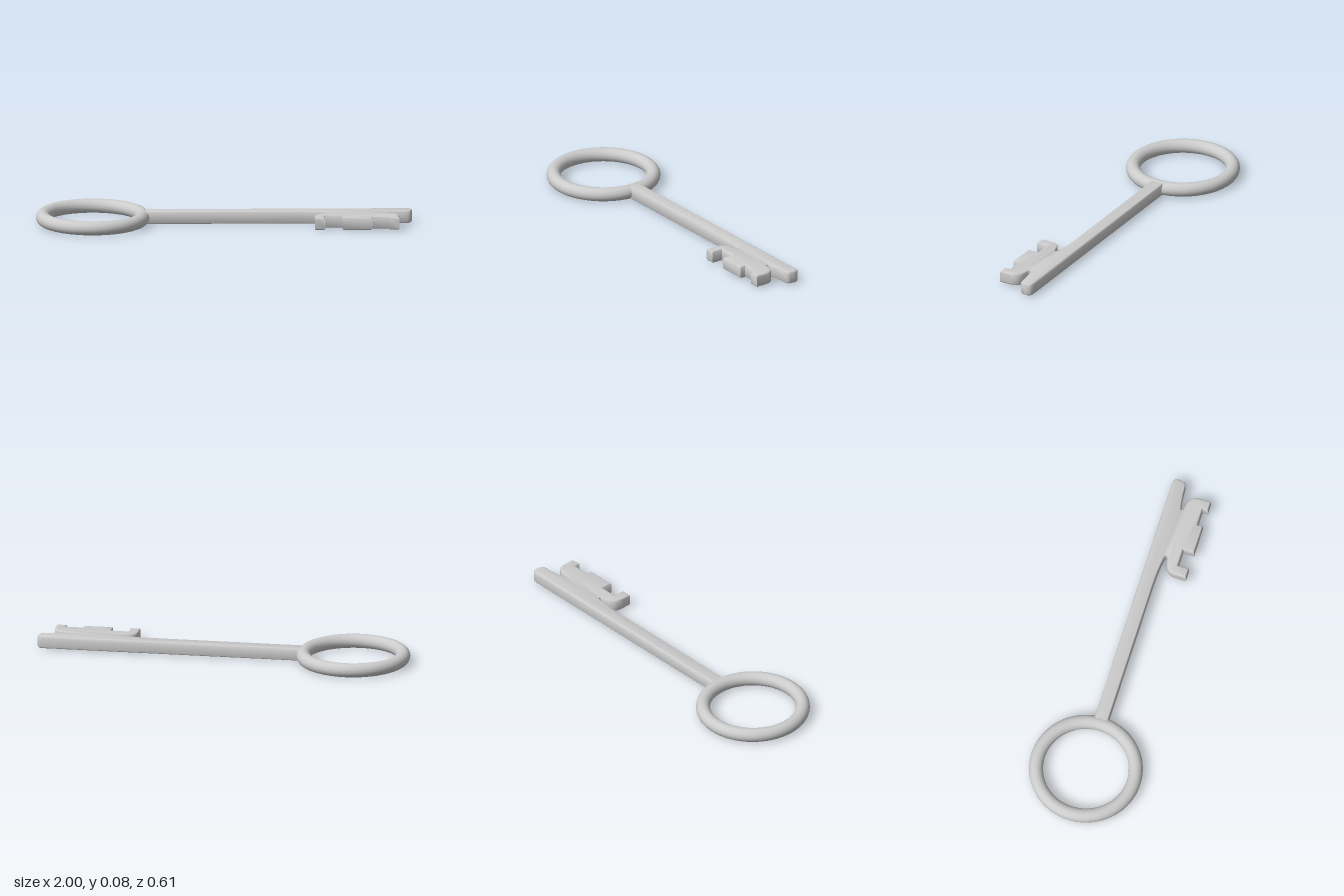
import * as THREE from 'three';
import { toCreasedNormals } from 'three/addons/utils/BufferGeometryUtils.js';

const material = new THREE.MeshStandardMaterial({ color: 0xcccccc });

// Lies flat: shape y becomes -z, extrusion runs from y0 to y1 with rounded edges.
function flatPart(name, shape, y0, y1, bevel) {
  const geometry = new THREE.ExtrudeGeometry(shape, {
    depth: y1 - y0 - 2 * bevel, bevelThickness: bevel, bevelSize: bevel,
    bevelOffset: -bevel, bevelSegments: 4, curveSegments: 10,
  });
  geometry.translate(0, 0, y0 + bevel).rotateX(-Math.PI / 2);
  const mesh = new THREE.Mesh(toCreasedNormals(geometry, 0.6), material);
  mesh.name = name;
  return mesh;
}

export function createModel() {
  const key = new THREE.Group();
  key.name = 'key';

  // Round handle ring
  const ring = new THREE.Mesh(new THREE.TorusGeometry(0.265, 0.0375, 24, 96), material);
  ring.name = 'handleRing';
  ring.rotation.x = Math.PI / 2;
  ring.position.set(-0.697, 0.0375, 0);
  key.add(ring);

  // Shaft and bit share one outline
  const s = new THREE.Shape();
  s.moveTo(-0.425, 0.039);
  s.lineTo(-0.425, -0.035);
  s.lineTo(0.40, -0.035);
  s.quadraticCurveTo(0.53, -0.038, 0.565, -0.05);
  // left tooth
  s.quadraticCurveTo(0.575, -0.06, 0.55, -0.065);
  s.bezierCurveTo(0.50, -0.073, 0.48, -0.09, 0.48, -0.14);
  // notched lower edge
  for (const [x, z] of [
    [0.48, 0.19], [0.535, 0.19], [0.535, 0.13], [0.627, 0.13], [0.627, 0.19],
    [0.785, 0.19], [0.785, 0.16], [0.876, 0.16], [0.876, 0.19], [0.93, 0.19], [0.93, 0.13],
  ]) s.lineTo(x, -z);
  // right tooth
  s.bezierCurveTo(0.93, -0.09, 0.91, -0.07, 0.86, -0.065);
  s.quadraticCurveTo(0.835, -0.06, 0.845, -0.05);
  s.quadraticCurveTo(0.88, -0.04, 0.975, -0.034);
  // rounded tip
  s.quadraticCurveTo(0.995, -0.03, 0.996, -0.012);
  s.lineTo(1, 0.012);
  s.quadraticCurveTo(0.998, 0.036, 0.975, 0.039);
  s.closePath();
  key.add(flatPart('shaftAndBit', s, 0.004, 0.072, 0.01));

  return key;
}
